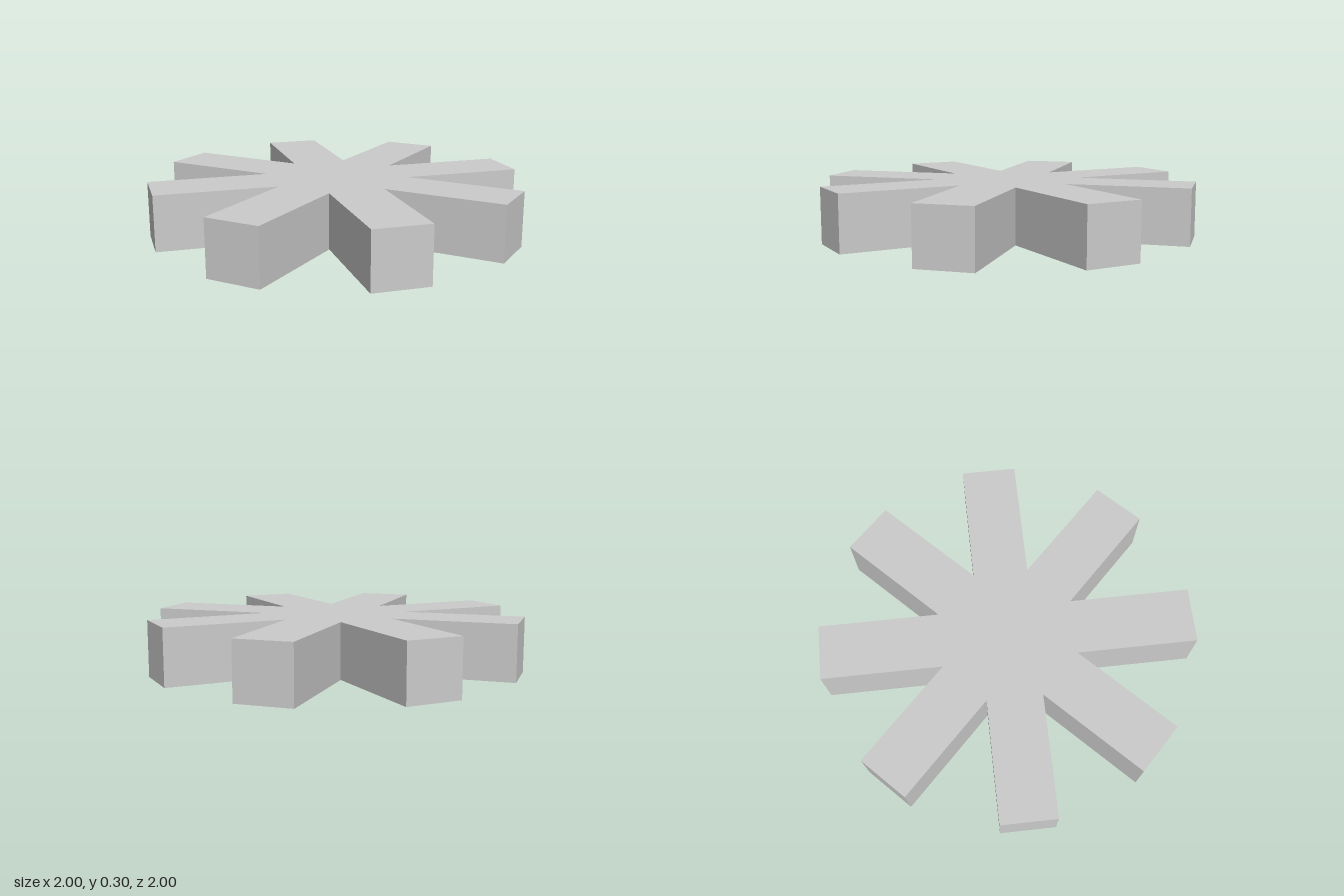
import * as THREE from 'three';

const ARMS = 8;
const REACH = 1; // centre to arm tip
const HALF_WIDTH = 0.148;
const HEIGHT = 0.296;

export function createModel() {
  const group = new THREE.Group();
  group.name = 'eightArmedStar';

  // Outline: two tip corners per arm, then the notch shared with the next arm
  const step = (Math.PI * 2) / ARMS;
  const notch = HALF_WIDTH / Math.sin(step / 2);
  const outline = [];
  for (let i = 0; i < ARMS; i++) {
    const angle = i * step;
    for (const side of [-HALF_WIDTH, HALF_WIDTH]) {
      outline.push(new THREE.Vector2(REACH, side).rotateAround(new THREE.Vector2(), angle));
    }
    const mid = angle + step / 2;
    outline.push(new THREE.Vector2(Math.cos(mid) * notch, Math.sin(mid) * notch));
  }

  // Solid star lying flat on the ground
  const geometry = new THREE.ExtrudeGeometry(new THREE.Shape(outline), {
    depth: HEIGHT,
    bevelEnabled: false,
  });
  geometry.rotateX(-Math.PI / 2);

  const star = new THREE.Mesh(
    geometry,
    new THREE.MeshStandardMaterial({ color: 0xcccccc, flatShading: true })
  );
  star.name = 'starBody';
  group.add(star);
  return group;
}
